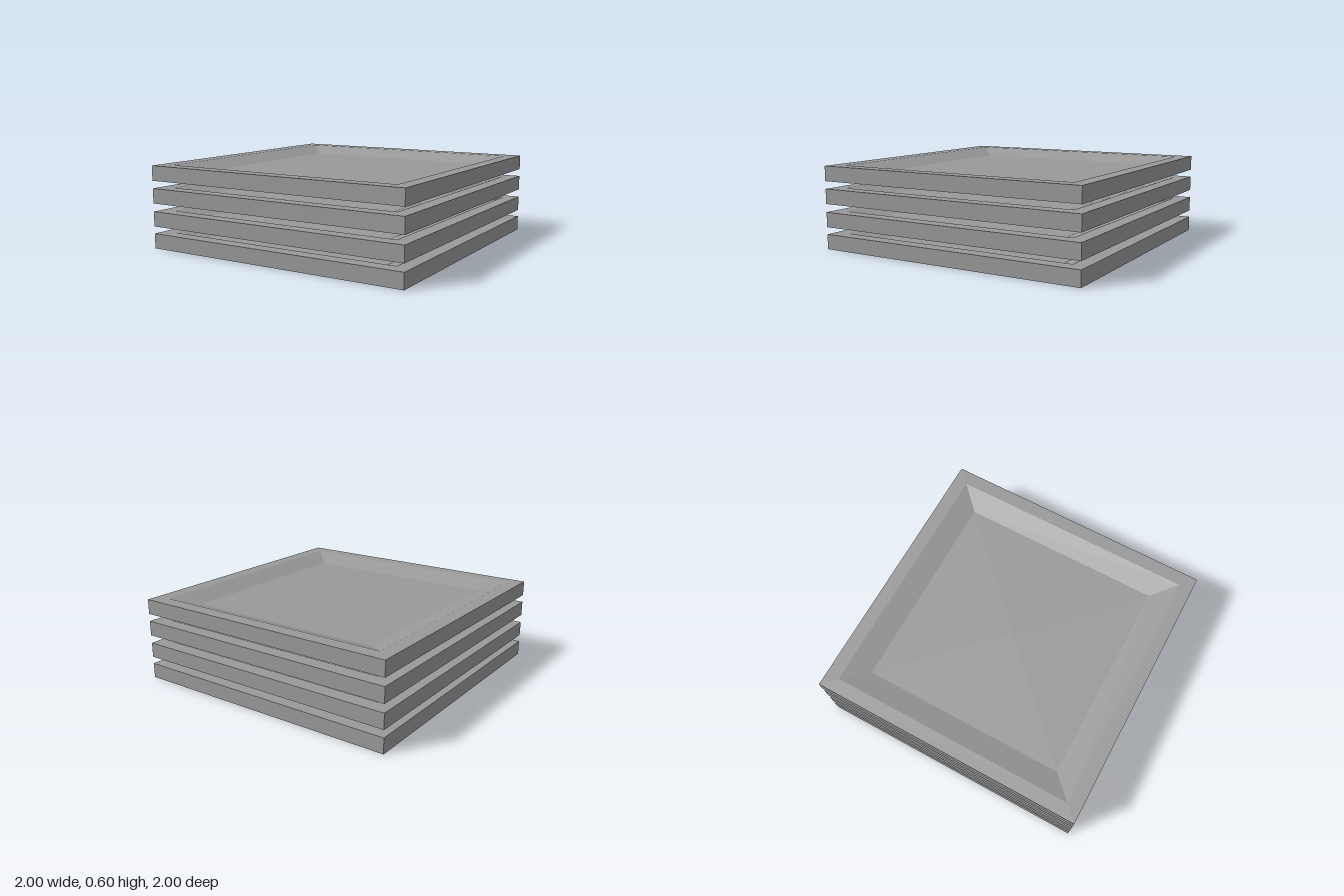
import * as THREE from 'three';

// Square tray: flat base, upright sides, flat rim and a sunken floor with sloping walls
function trayGeometry(height, depth) {
  // Cross-section from outside bottom to inner floor: [half width, y]
  const rings = [[0, 0], [1, 0], [1, height], [0.9, height], [0.74, height - depth], [0, height - depth]];
  const corners = [[-1, 1], [1, 1], [1, -1], [-1, -1]];
  const pos = [];
  const at = (ring, c) => [corners[c % 4][0] * ring[0], ring[1], corners[c % 4][1] * ring[0]];
  for (let r = 0; r < rings.length - 1; r++) {
    for (let c = 0; c < 4; c++) {
      const a = at(rings[r], c), b = at(rings[r], c + 1);
      const d = at(rings[r + 1], c), e = at(rings[r + 1], c + 1);
      if (rings[r][0] > 0) pos.push(...a, ...b, ...(rings[r + 1][0] > 0 ? e : d));
      if (rings[r + 1][0] > 0) pos.push(...a, ...e, ...d);
    }
  }
  const g = new THREE.BufferGeometry();
  g.setAttribute('position', new THREE.Float32BufferAttribute(pos, 3));
  g.computeVertexNormals();
  return g;
}

export function createModel() {
  const group = new THREE.Group();
  group.name = 'trayStack';
  const grey = new THREE.MeshStandardMaterial({ color: 0x999999 });
  grey.name = 'grey';

  // Four separate trays, one above the other
  const geometry = trayGeometry(0.108, 0.055);
  [0, 0.16, 0.327, 0.49].forEach((y, i) => {
    const tray = new THREE.Mesh(geometry, grey);
    tray.name = `tray${i + 1}`;
    tray.position.y = y;
    group.add(tray);
  });
  return group;
}
